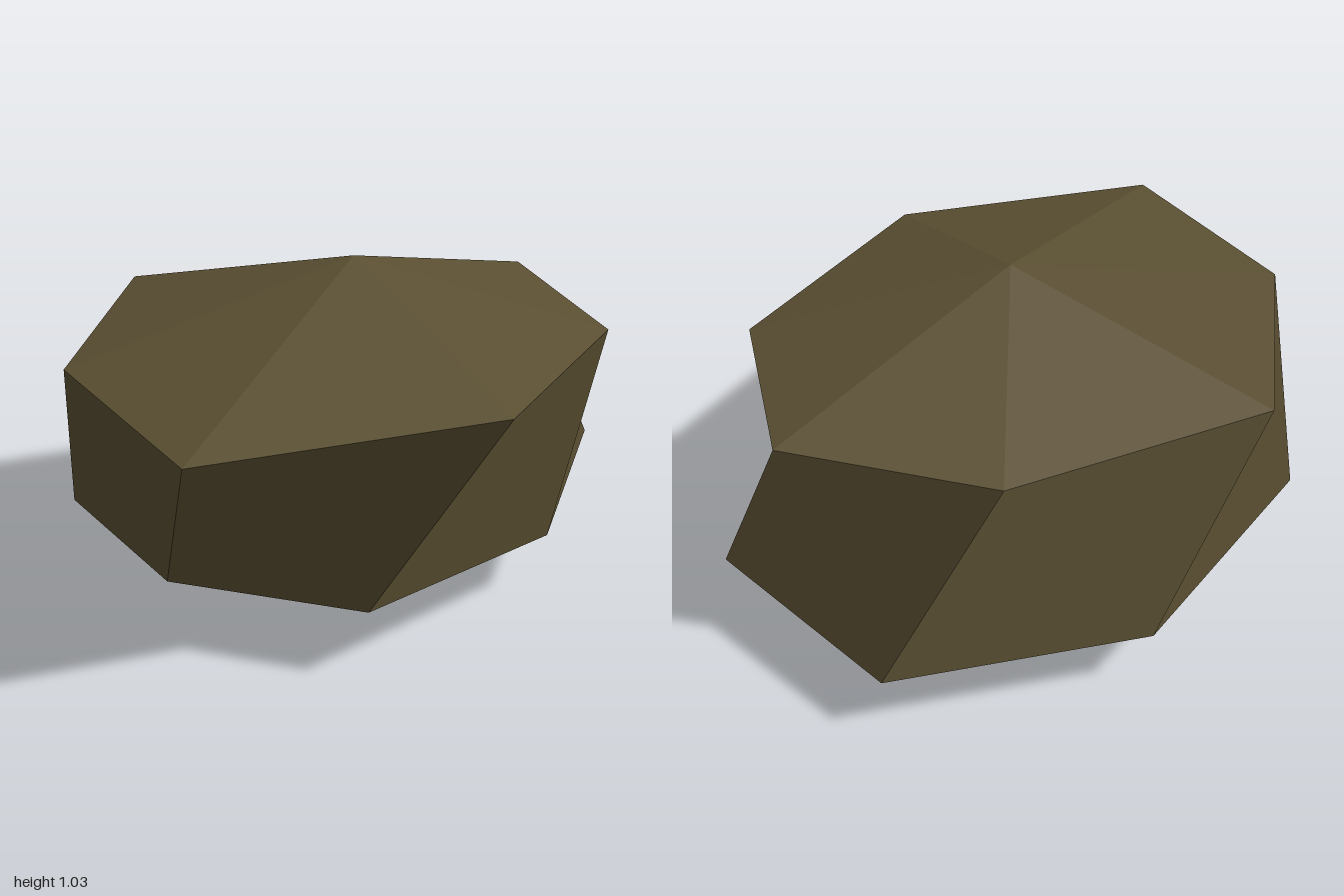
import * as THREE from 'three';

// Rings run from the right side (-x) through the front (+z) to the left (+x)
const upperRing = [
  [-1, 0.785, 0.35], [-0.24, 0.797, 0.83], [0.6, 0.787, 0.66], [0.98, 0.822, 0.09],
  [0.68, 0.795, -0.47], [-0.04, 0.83, -0.83], [-0.74, 0.794, -0.39],
];
const lowerRing = [
  [-0.74, 0.23, 0], [-0.51, 0.23, 0.56], [0.24, 0.21, 0.69], [0.98, 0.245, 0.41],
  [1, 0.212, -0.29], [0.36, 0.21, -0.75], [-0.52, 0.205, -0.66],
];
const peak = [0.09, 1.03, 0.03];
const base = [0.09, 0, 0.03];

// Builds a mesh of flat facets; each facet is a fan with one shared normal
function facetMesh(name, facets, material) {
  const positions = [], normals = [];
  for (const facet of facets) {
    const p = facet.map((c) => new THREE.Vector3(...c));
    const last = p.length - 1;
    const across = p[2].clone().sub(p[0]);
    const other = p[last].clone().sub(p[1]);
    // cross product of the diagonals (or of two edges of a triangle)
    const n = p.length === 4
      ? across.cross(other).normalize()
      : p[1].clone().sub(p[0]).cross(across).normalize();
    for (let i = 1; i < last; i++) {
      for (const v of [p[0], p[i], p[i + 1]]) {
        positions.push(v.x, v.y, v.z);
        normals.push(n.x, n.y, n.z);
      }
    }
  }
  const geometry = new THREE.BufferGeometry();
  geometry.setAttribute('position', new THREE.Float32BufferAttribute(positions, 3));
  geometry.setAttribute('normal', new THREE.Float32BufferAttribute(normals, 3));
  const mesh = new THREE.Mesh(geometry, material);
  mesh.name = name;
  return mesh;
}

export function createModel() {
  const stone = new THREE.MeshStandardMaterial({ color: 0x5a4f32 });
  stone.name = 'brown stone';

  const top = [], sides = [], bottom = [];
  upperRing.forEach((upper, i) => {
    const j = (i + 1) % upperRing.length;
    top.push([peak, upper, upperRing[j]]);
    sides.push([lowerRing[i], lowerRing[j], upperRing[j], upper]);
    bottom.push([base, lowerRing[j], lowerRing[i]]);
  });

  const rock = new THREE.Group();
  rock.name = 'rock';
  rock.add(
    facetMesh('rockTop', top, stone),
    facetMesh('rockSides', sides, stone),
    facetMesh('rockUnderside', bottom, stone),
  );
  return rock;
}
